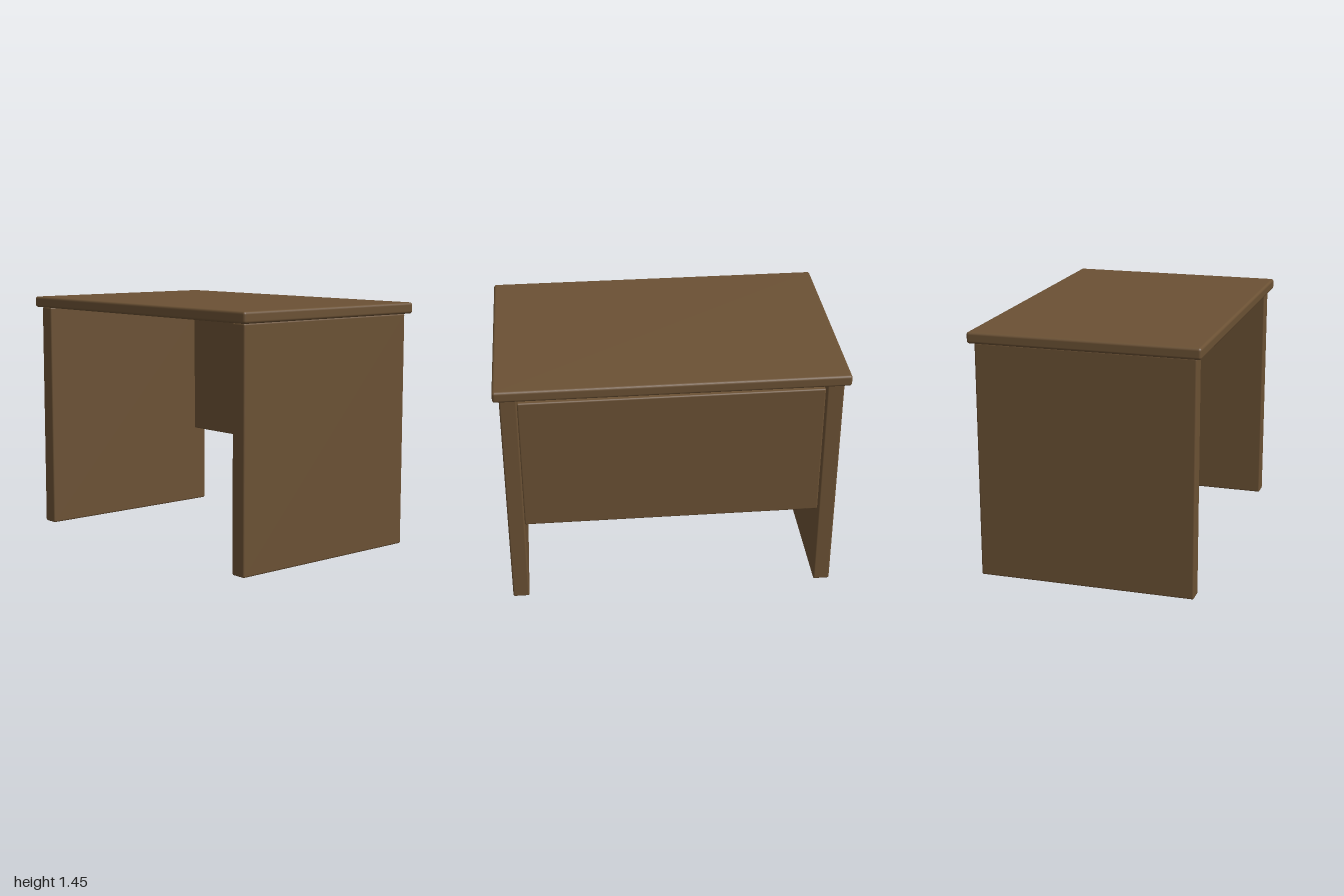
import * as THREE from 'three';
import { RoundedBoxGeometry } from 'three/addons/geometries/RoundedBoxGeometry.js';

export function createModel() {
  const desk = new THREE.Group();
  desk.name = 'desk';
  const wood = new THREE.MeshStandardMaterial({ color: 0x6b5134 });
  wood.name = 'brown wood';

  // Rounded board spanning two opposite corners
  function board(name, min, max, radius) {
    const size = max.map((v, i) => v - min[i]);
    const mesh = new THREE.Mesh(new RoundedBoxGeometry(...size, 3, radius), wood);
    mesh.position.set(...max.map((v, i) => (v + min[i]) / 2));
    mesh.name = name;
    desk.add(mesh);
  }

  // Overhanging top
  board('desktop', [-1, 1.386, -0.667], [1, 1.452, 0.667], 0.016);

  // Full-depth side panels
  board('leftSidePanel', [0.868, 0, -0.635], [0.965, 1.386, 0.635], 0.01);
  board('rightSidePanel', [-0.965, 0, -0.635], [-0.868, 1.386, 0.635], 0.01);

  // Modesty panel, set slightly in from the back edge
  board('backPanel', [-0.87, 0.505, -0.6], [0.87, 1.336, -0.54], 0.01);

  return desk;
}
